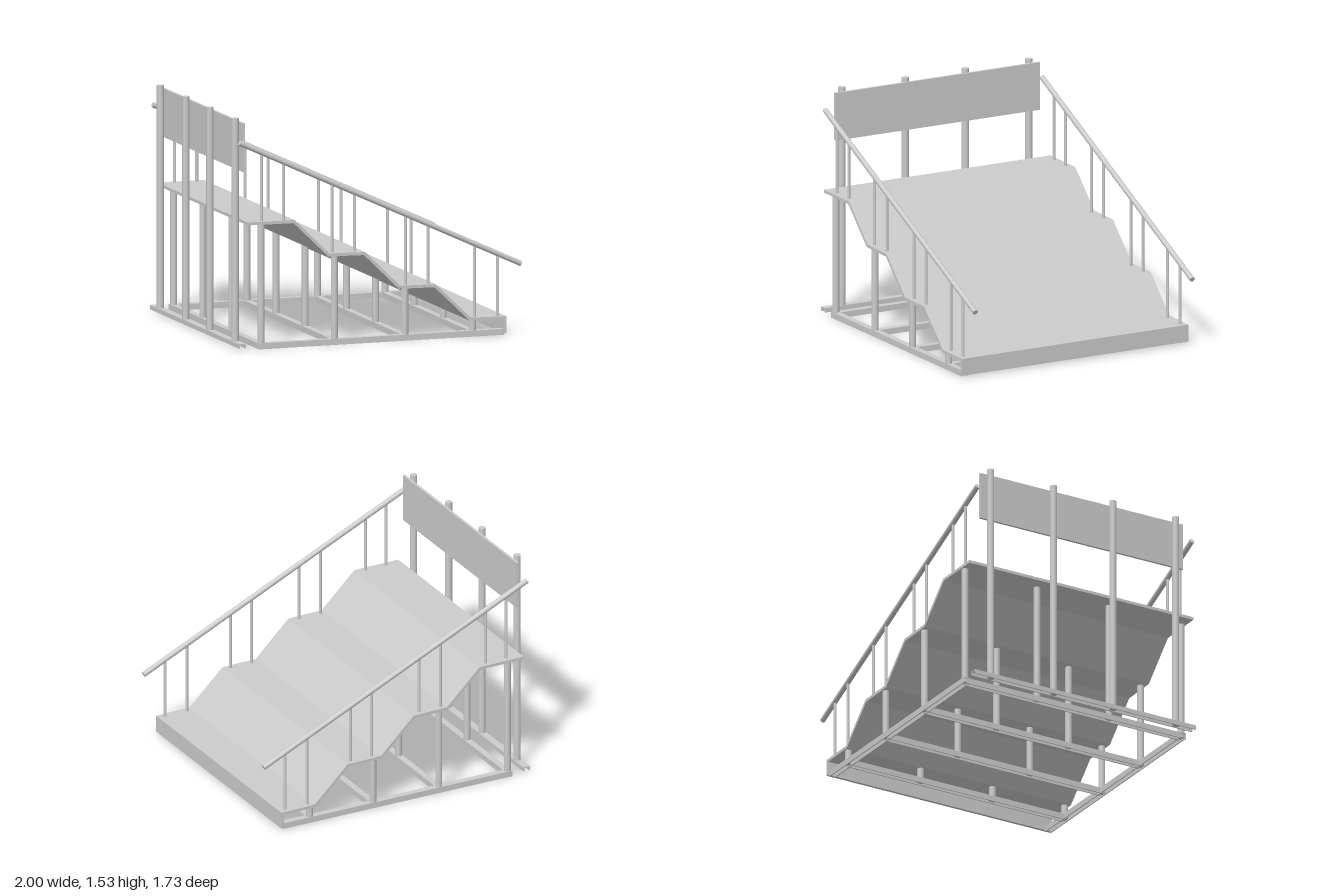
import * as THREE from 'three';

const mat = new THREE.MeshStandardMaterial({ color: 0xcccccc });
const HALF = 0.863; // half depth of the deck

function add(parent, name, geo, x = 0, y = 0, z = 0) {
  const m = new THREE.Mesh(geo, mat);
  m.name = name;
  m.position.set(x, y, z);
  parent.add(m);
  return m;
}

function box(parent, name, x0, x1, y0, y1, z0, z1) {
  return add(parent, name, new THREE.BoxGeometry(x1 - x0, y1 - y0, z1 - z0),
    (x0 + x1) / 2, (y0 + y1) / 2, (z0 + z1) / 2);
}

// upright tube
function post(parent, name, r, x, y0, y1, z) {
  return add(parent, name, new THREE.CylinderGeometry(r, r, y1 - y0, 16), x, (y0 + y1) / 2, z);
}

// prism along z from a list of [x, y] points
function prism(points, depth) {
  const shape = new THREE.Shape(points.map(p => new THREE.Vector2(p[0], p[1])));
  const g = new THREE.ExtrudeGeometry(shape, { depth, bevelEnabled: false });
  return g.translate(0, 0, -depth / 2);
}

// steel channel, open underneath, running along z
function channel(width, height, length, t = 0.007) {
  const w = width / 2;
  return prism([[-w, 0], [-w + t, 0], [-w + t, height - t], [w - t, height - t],
    [w - t, 0], [w, 0], [w, height], [-w, height]], length);
}

export function createModel() {
  const root = new THREE.Group();
  root.name = 'tieredStand';
  const group = name => {
    const g = new THREE.Group();
    g.name = name;
    root.add(g);
    return g;
  };

  // folded deck: treads, slopes and the end panel in one sheet
  const t = 0.02, miter = t * Math.tan(Math.PI / 8);
  const top = [[-0.94, 0.855], [-0.61, 0.852], [-0.365, 0.615], [-0.115, 0.61],
    [0.13, 0.371], [0.38, 0.367], [0.628, 0.129], [0.878, 0.125]];
  const under = top.slice(1, -1).map(([x, y]) => [x - miter, y - t]).reverse();
  const profile = [...top, [0.878, 0.01], [0.858, 0.01], [0.858, 0.105], ...under, [-0.94, 0.835]];
  add(root, 'deck', prism(profile.reverse(), 2 * HALF));

  // deck height at any x
  const deckY = x => {
    const i = Math.max(1, top.findIndex(p => p[0] >= x));
    const [a, b] = [top[i - 1], top[i]];
    return a[1] + (b[1] - a[1]) * (x - a[0]) / (b[0] - a[0]);
  };

  // base frame: two side channels and a cross channel below each row of supports
  const frame = group('baseFrame');
  for (const s of [-1, 1]) {
    const bar = add(frame, 'sideChannel', channel(0.045, 0.04, 1.724), 0, 0, s * 0.832);
    bar.rotation.y = Math.PI / 2;
  }
  const rows = [-0.835, -0.32, 0.175, 0.65];
  const supports = group('supports');
  for (const x of rows) {
    add(frame, 'crossChannel', channel(0.045, 0.039, 1.66), x);
    for (const z of [-0.832, -0.277, 0.277, 0.832]) {
      post(supports, 'supportPost', 0.023, x, 0.01, deckY(x) - 0.012, z);
    }
  }

  // high-end posts on their own sill, carrying the guard board
  const guard = group('endGuard');
  add(guard, 'sillChannel', channel(0.05, 0.03, 1.7), -0.971, 0.012);
  for (const z of [-0.717, -0.233, 0.225, 0.708]) {
    post(guard, 'guardPost', 0.024, -0.971, 0.015, 1.53, z);
  }
  box(guard, 'guardBoard', -0.947, -0.93, 1.18, 1.505, -0.78, 0.78);

  // sloping handrails with pairs of balusters on each tread
  const a = new THREE.Vector2(-0.985, 1.383), b = new THREE.Vector2(0.992, 0.465);
  const railY = x => a.y + (b.y - a.y) * (x - a.x) / (b.x - a.x);
  for (const s of [-1, 1]) {
    const rail = group(s > 0 ? 'frontRailing' : 'backRailing');
    const bar = add(rail, 'handrail', new THREE.CylinderGeometry(0.018, 0.018, a.distanceTo(b), 20),
      (a.x + b.x) / 2, (a.y + b.y) / 2, s * 0.826);
    bar.rotation.z = Math.atan2(b.y - a.y, b.x - a.x) + Math.PI / 2;
    for (const x of [-0.83, -0.675, -0.335, -0.175, 0.182, 0.34, 0.667, 0.83]) {
      post(rail, 'baluster', 0.01, x, deckY(x) - 0.005, railY(x), s * 0.826);
    }
  }
  return root;
}
